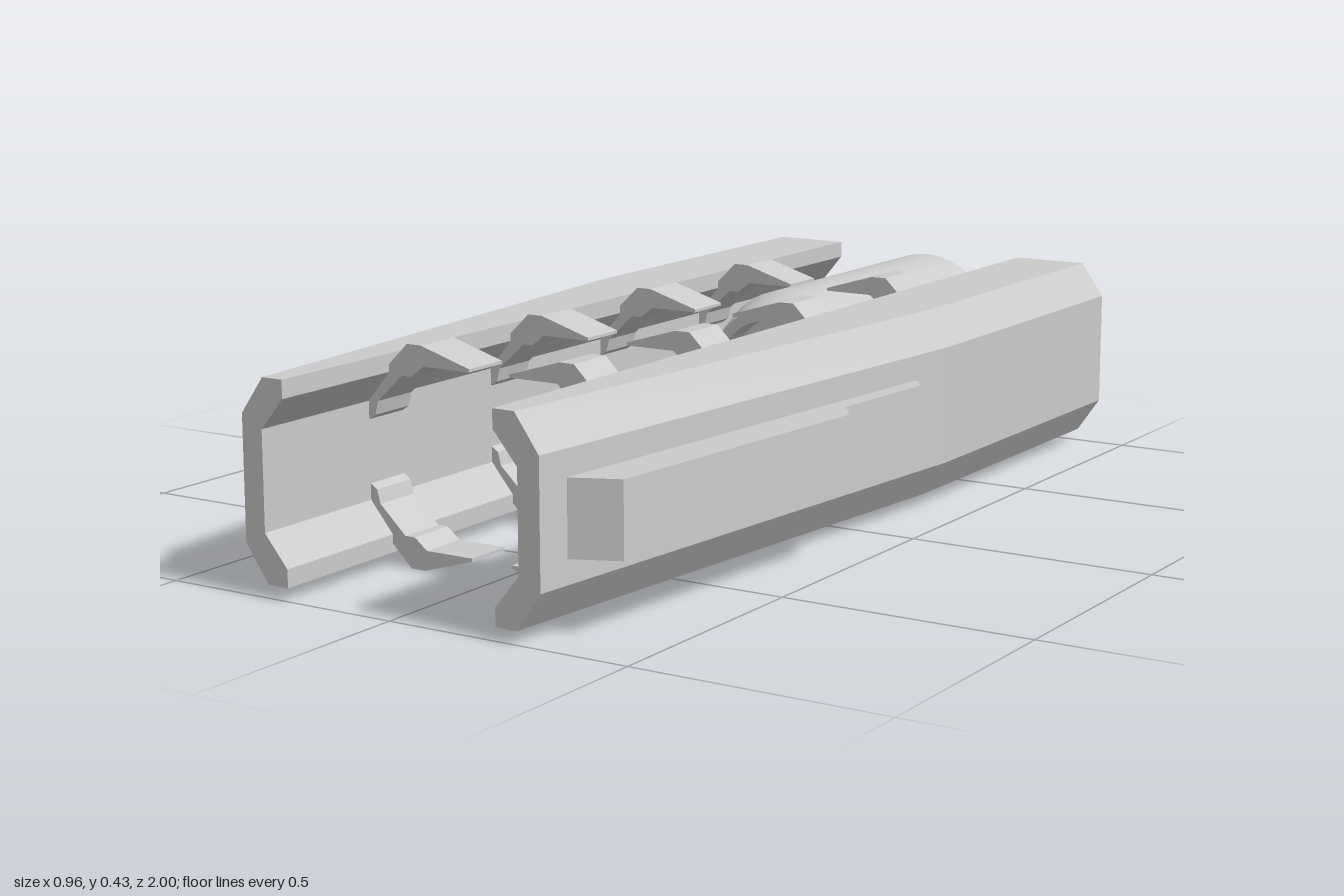
import * as THREE from 'three';

const MID = 0.215; // height of the centre axis
const grey = new THREE.MeshStandardMaterial({ color: 0xcccccc, flatShading: true, side: THREE.DoubleSide });
const smooth = new THREE.MeshStandardMaterial({ color: 0xcccccc, side: THREE.DoubleSide });

function named(name, geometry, material = grey) {
  const mesh = new THREE.Mesh(geometry, material);
  mesh.name = name;
  return mesh;
}

const shapeOf = (pts) => new THREE.Shape(pts.map(([x, y]) => new THREE.Vector2(x, y)));

// C-shaped rail section; top is the width of the flanges, side the outer wall
const railSection = (top, side) => [
  [0.23, 0.025], [top, 0.025], [side, 0.097], [side, 0.335], [top, 0.405],
  [0.23, 0.405], [0.23, 0.37], [0.28, 0.31], [0.28, 0.12], [0.23, 0.06],
];

// Hollow rail, open at the back, tapering to a closed front
function railGeometry() {
  const rings = [[-1, 0.39, 0.44], [-0.25, 0.39, 0.44], [1, 0.275, 0.325]]
    .map(([z, top, side]) => railSection(top, side).map(([x, y]) => [x, y, z]));
  const pos = [];
  for (let k = 0; k < rings.length - 1; k++) {
    const n = rings[k].length;
    for (let i = 0; i < n; i++) {
      const j = (i + 1) % n;
      const a = rings[k][i], b = rings[k][j], c = rings[k + 1][j], d = rings[k + 1][i];
      pos.push(...a, ...b, ...c, ...a, ...c, ...d);
    }
  }
  const front = rings[rings.length - 1];
  const flat = front.map(([x, y]) => new THREE.Vector2(x, y));
  for (const tri of THREE.ShapeUtils.triangulateShape(flat, [])) {
    for (const i of tri) pos.push(...front[i]);
  }
  const g = new THREE.BufferGeometry();
  g.setAttribute('position', new THREE.Float32BufferAttribute(pos, 3));
  g.computeVertexNormals();
  return g;
}

// Stepped panel on the outer wall, drawn in plan and extruded downwards
function panelGeometry() {
  const plan = shapeOf([
    [0.36, -0.13], [0.437, -0.13], [0.462, -0.09], [0.44, 0.165],
    [0.48, 0.225], [0.42, 0.89], [0.33, 0.93], [0.31, 0.93],
  ]);
  return new THREE.ExtrudeGeometry(plan, { depth: 0.142, bevelEnabled: false })
    .rotateX(Math.PI / 2).translate(0, 0.285, 0);
}

// Hooked claw reaching from the inner wall over the centre
function clawGeometry() {
  const outline = shapeOf([
    [0.045, 0.388], [0.15, 0.388], [0.178, 0.366], [0.2, 0.366], [0.258, 0.312],
    [0.265, 0.285], [0.28, 0.275], [0.285, 0.33], [0.23, 0.385], [0.187, 0.427],
    [0.155, 0.427], [0.045, 0.394],
  ]);
  return new THREE.ExtrudeGeometry(outline, { depth: 0.1, bevelEnabled: false });
}

// Barrel with chamfered nose and recessed front; each run keeps its own edge
function barrel() {
  const group = new THREE.Group();
  group.name = 'barrel';
  const runs = [
    ['barrelTube', [0.18, -0.995], [0.18, -0.37]],
    ['barrelChamfer', [0.18, -0.37], [0.15, -0.285]],
    ['barrelRim', [0.15, -0.285], [0.127, -0.285]],
    ['barrelRecess', [0.127, -0.285], [0.127, -0.35]],
    ['barrelFloor', [0.127, -0.35], [0, -0.35]],
  ];
  for (const [name, a, b] of runs) {
    const g = new THREE.LatheGeometry([new THREE.Vector2(...a), new THREE.Vector2(...b)], 48);
    group.add(named(name, g.rotateX(Math.PI / 2), smooth));
  }
  group.position.y = MID;
  return group;
}

export function createModel() {
  const model = new THREE.Group();
  model.name = 'railLauncher';
  const rail = railGeometry(), panel = panelGeometry(), claw = clawGeometry();

  // Both sides, mirrored across x
  for (const [side, sx] of [['left', 1], ['right', -1]]) {
    const half = new THREE.Group();
    half.name = side + 'Side';
    half.scale.x = sx;
    half.add(named(side + 'Rail', rail), named(side + 'Panel', panel));
    // Four pairs of claws, the lower ones mirrored about the axis
    for (const z of [-0.55, -0.165, 0.22, 0.6]) {
      const upper = named(side + 'UpperClaw', claw);
      upper.position.z = z;
      const lower = named(side + 'LowerClaw', claw);
      lower.scale.y = -1;
      lower.position.set(0, 2 * MID - 0.003, z);
      half.add(upper, lower);
    }
    model.add(half);
  }

  model.add(barrel());
  return model;
}
